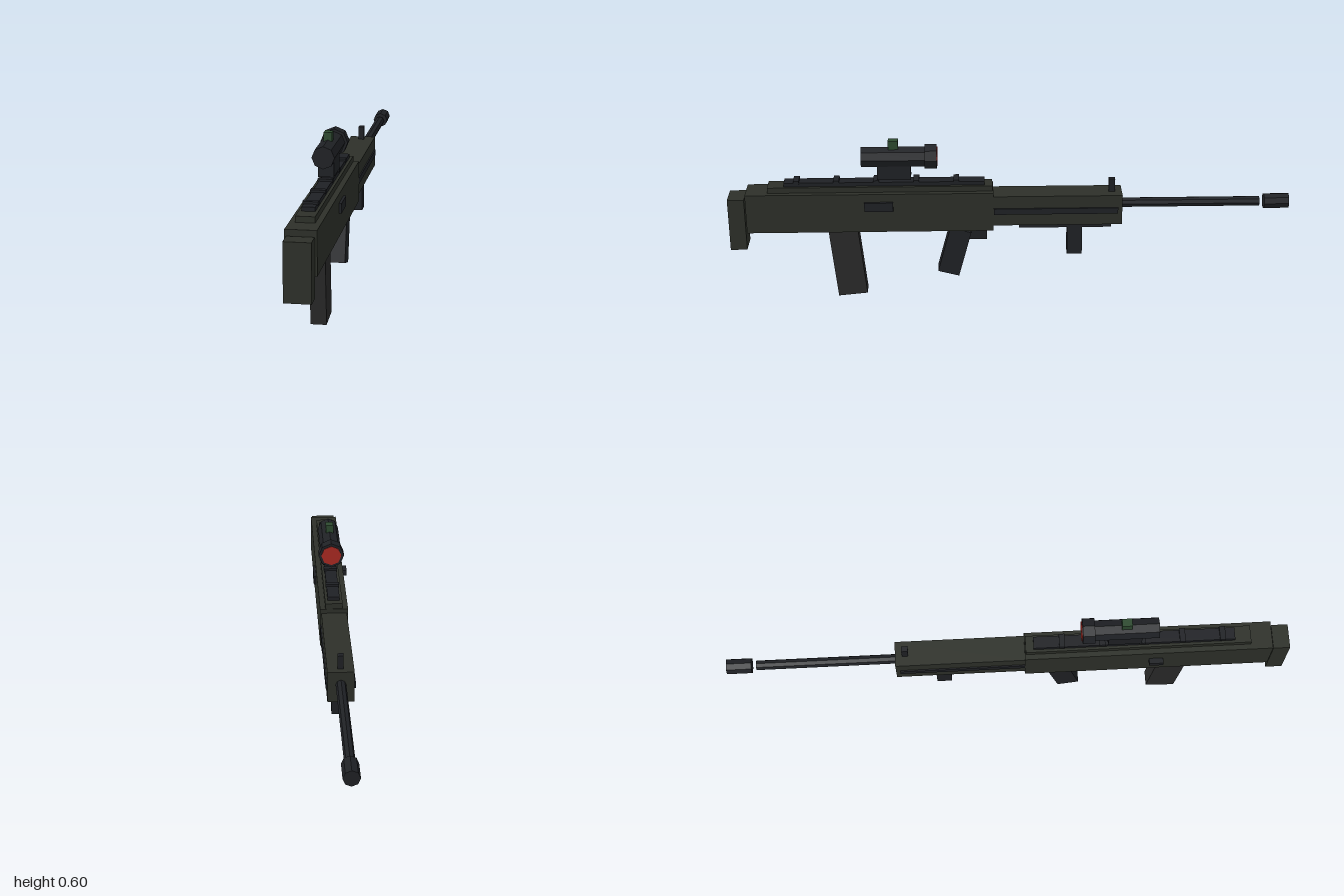
import * as THREE from 'three';

const mat = (color) => new THREE.MeshStandardMaterial({ color, flatShading: true });

export function createModel() {
  const olive = mat(0x2d3029), metal = mat(0x1f2125), dark = mat(0x2a2a2a);
  const green = mat(0x2d4a30), red = mat(0xaa2a22);
  const CX = 0.0045; // centre line, offset by the bolt handle
  const group = new THREE.Group();

  const add = (name, geometry, material, x, y, z) => {
    const mesh = new THREE.Mesh(geometry, material);
    mesh.name = name;
    mesh.position.set(x, y, z);
    group.add(mesh);
    return mesh;
  };
  // Box given by its extents in y and z, centred on the centre line by default
  const box = (name, material, w, y0, y1, z0, z1, x = CX) =>
    add(name, new THREE.BoxGeometry(w, y1 - y0, z1 - z0), material, x, (y0 + y1) / 2, (z0 + z1) / 2);
  // Eight-sided rod lying along z
  const rod = (name, material, r, y, z0, z1) => {
    const g = new THREE.CylinderGeometry(r, r, z1 - z0, 8).rotateX(Math.PI / 2);
    return add(name, g, material, CX, y, (z0 + z1) / 2);
  };
  // Tilted handle, placed by the centre of its bottom face
  const handle = (name, material, w, length, depth, y, z, tilt) => {
    const g = new THREE.BoxGeometry(w, length, depth).translate(0, length / 2, 0);
    add(name, g, material, CX, y, z).rotation.x = tilt;
  };

  // Stock and receiver
  box('buttPlate', olive, 0.088, 0.2, 0.394, 0.941, 1);
  box('receiver', olive, 0.101, 0.268, 0.414, 0.059, 0.936);
  box('topCover', olive, 0.0625, 0.414, 0.434, 0.062, 0.858);
  box('topRail', metal, 0.043, 0.434, 0.448, 0.09, 0.8);
  for (let i = 0; i < 5; i++) {
    const z = 0.19 + i * 0.1415;
    box('railLug', metal, 0.05, 0.444, 0.456, z - 0.01, z + 0.01);
  }
  box('ejectionPort', metal, 0.018, 0.35, 0.384, 0.414, 0.516, 0.055);
  box('boltHandle', metal, 0.03, 0.346, 0.367, 0.5, 0.55, -0.051);

  // Magazine, grip and trigger
  handle('magazine', dark, 0.053, 0.29, 0.105, 0.006, 0.571, 0.1);
  handle('grip', metal, 0.0625, 0.178, 0.078, 0.089, 0.222, -0.26);
  box('trigger', metal, 0.04, 0.22, 0.254, 0.083, 0.18);

  // Handguard with side strips, underside plate and foregrip
  box('handguard', olive, 0.092, 0.286, 0.398, -0.4, 0.059);
  for (const s of [-1, 1])
    box('sideStrip', metal, 0.008, 0.33, 0.352, -0.385, 0.058, CX + s * 0.047);
  box('underPlate', metal, 0.05, 0.266, 0.286, -0.364, -0.033);
  box('foregrip', metal, 0.05, 0.16, 0.266, -0.26, -0.206);
  box('frontSight', metal, 0.02, 0.398, 0.446, -0.375, -0.353);

  // Barrel and muzzle
  rod('barrel', metal, 0.018, 0.351, -0.895, -0.4);
  rod('muzzle', metal, 0.028, 0.351, -1, -0.911);

  // Scope
  box('scopeMount', metal, 0.053, 0.459, 0.51, 0.35, 0.468);
  rod('scopeTube', metal, 0.038, 0.537, 0.257, 0.524);
  rod('scopeBell', metal, 0.047, 0.537, 0.258, 0.3);
  rod('scopeLens', red, 0.037, 0.537, 0.255, 0.265);
  box('scopeKnob', green, 0.028, 0.565, 0.6, 0.393, 0.428);

  return group;
}
